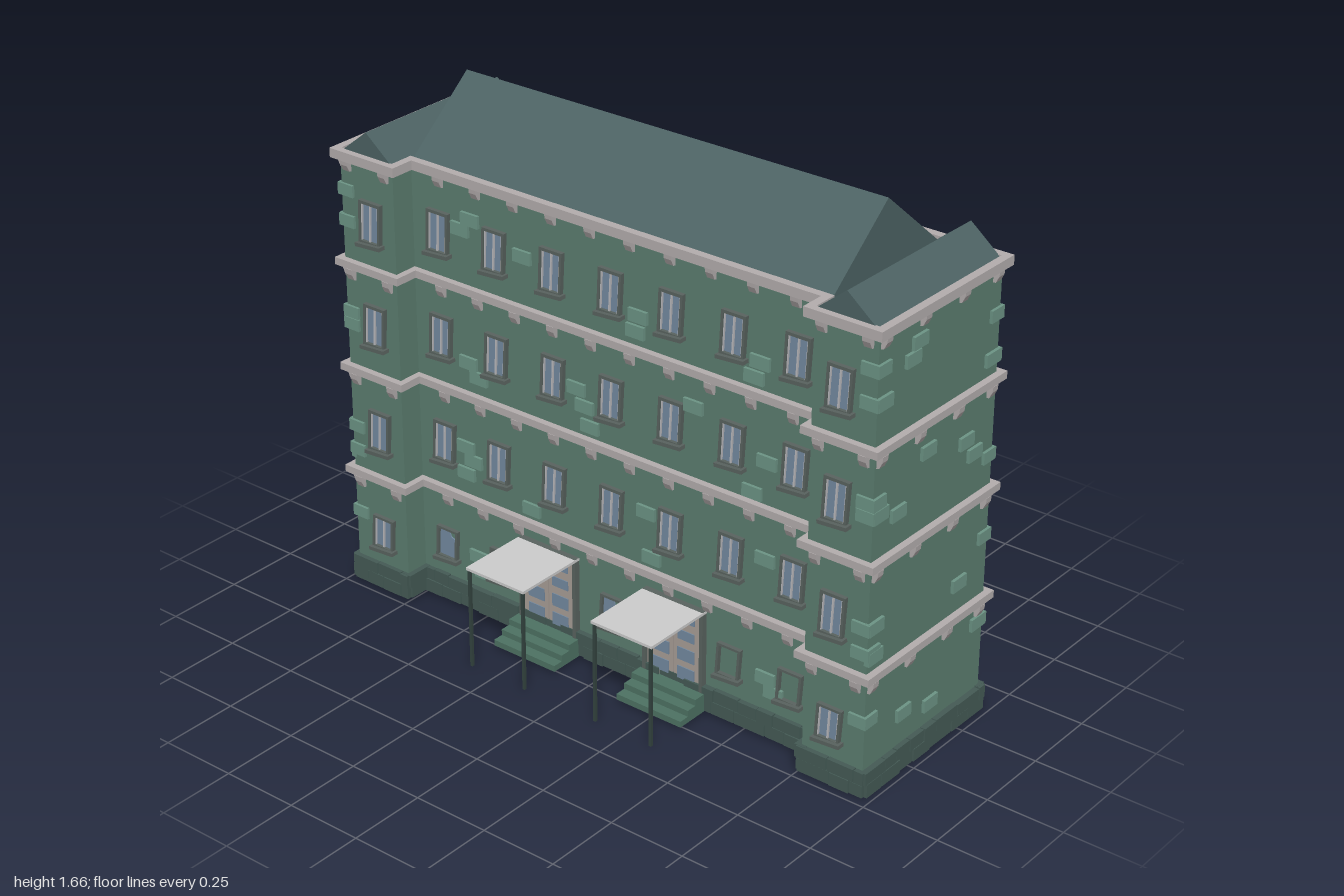
import * as THREE from 'three';

const mat = (color, side = THREE.FrontSide) =>
  new THREE.MeshStandardMaterial({ color, side, flatShading: true });
const M = {
  wall: mat(0x5b7d6f, THREE.DoubleSide), brick: mat(0x6c9485), base: mat(0x445a55),
  roof: mat(0x4c6263), trim: mat(0xb3adad), frame: mat(0x59635f), glass: mat(0x7389a0),
  bar: mat(0xb9b9bd), door: mat(0xa79d96), step: mat(0x4d7263), post: mat(0x33433f), canopy: mat(0xcccccc),
};
const TRIM_TOPS = [0.408, 0.763, 1.115, 1.468];

let seed = 7;
const rand = () => (seed = (seed * 16807) % 2147483647) / 2147483647;

function add(parent, name, geo, material, x = 0, y = 0, z = 0) {
  const mesh = new THREE.Mesh(geo, material);
  mesh.name = name;
  mesh.position.set(x, y, z);
  parent.add(mesh);
  return mesh;
}
const box = (parent, name, material, w, h, d, x, y, z) =>
  add(parent, name, new THREE.BoxGeometry(w, h, d), material, x, y, z);

// Footprint grown outward by d, as (x, -z), counter-clockwise from the front corner
function outline(d) {
  const w = 0.97 + d, i = 0.76 - d, f = -0.215 - d, c = -0.135 - d, b = 0.367 + d;
  return [[-w, f], [-i, f], [-i, c], [i, c], [i, f], [w, f], [w, b], [-w, b]]
    .map(p => new THREE.Vector2(...p));
}

// Local frame on a wall: x runs along it, z points outward
function face(parent, name, x, z, angle) {
  const g = new THREE.Group();
  g.name = name;
  g.position.set(x, 0, z);
  g.rotation.y = angle;
  parent.add(g);
  return g;
}

const bricks = (wall, list) => list.forEach(([x, y]) =>
  box(wall, 'raisedBrick', M.brick, 0.067, 0.04, 0.018, x, y, 0.001));

// Wedge-shaped block under a ledge
const bracketShape = new THREE.Shape([[0, 0], [0.021, 0], [0.019, -0.018], [0.009, -0.038], [0, -0.04]]
  .map(p => new THREE.Vector2(...p)));
const bracketGeo = new THREE.ExtrudeGeometry(bracketShape, { depth: 0.026, bevelEnabled: false })
  .translate(0, 0, -0.013).rotateY(-Math.PI / 2);
const brackets = (wall, xs) => TRIM_TOPS.forEach(t => xs.forEach(x =>
  add(wall, 'ledgeBracket', bracketGeo, M.trim, x, t - 0.026, 0)));

const poly = pts => pts.map(p => new THREE.Vector2(...p));
const scaled = (pts, sx, sy) => poly(pts.map(([x, y]) => [x * sx, y * sy]));

// Slightly crooked window with sill, lintel and glazing bars
function addWindow(wall, x, y, h, kind) {
  const g = new THREE.Group();
  g.name = 'window';
  g.position.set(x, y, 0);
  wall.add(g);
  const k = h / 0.135;
  const outer = [[-0.045, -0.067], [0.039, -0.067], [0.047, 0.067], [-0.038, 0.067]];
  const shape = new THREE.Shape(scaled(outer, 1, k));
  shape.holes.push(new THREE.Path(scaled(outer, 0.8, k * 0.86)));
  add(g, 'windowFrame', new THREE.ExtrudeGeometry(shape, { depth: 0.024, bevelEnabled: false }), M.frame, 0, 0, -0.01);
  const sill = box(g, 'windowSill', M.frame, 0.098, 0.012, 0.032, 0, -h / 2, 0.01);
  sill.rotation.z = 0.07;
  if (kind === 'empty') return;
  const pane = kind === 'broken'
    ? [[-0.037, -0.06], [0.033, -0.06], [0.037, 0.02], [0.012, 0.03], [0.004, 0.058], [-0.031, 0.05]]
    : scaled(outer, 0.84, 0.9).map(p => [p.x, p.y]);
  add(g, 'windowGlass', new THREE.ExtrudeGeometry(new THREE.Shape(scaled(pane, 1, k)),
    { depth: 0.008, bevelEnabled: false }), M.glass, 0, 0, -0.004);
  if (kind === 'broken') return;
  box(g, 'glazingBar', M.bar, 0.005, h * 0.86, 0.006, 0.001, 0, 0.007).rotation.z = -0.05;
  for (const s of [-1, 1])
    box(g, 'glazingEdge', M.bar, 0.004, h * 0.86, 0.006, s * 0.032, 0, 0.007).rotation.z = -0.05;
}

// Double door with panes, steps and a canopy on two posts
function entrance(parent, x) {
  const g = face(parent, 'entrance', x, 0.135, 0);
  box(g, 'doorHeader', M.frame, 0.224, 0.014, 0.03, 0, 0.335, 0.005);
  for (const s of [-1, 1]) {
    box(g, 'doorJamb', M.frame, 0.012, 0.28, 0.03, s * 0.106, 0.195, 0.005);
    box(g, 'doorLeaf', M.door, 0.096, 0.27, 0.018, s * 0.05, 0.193, 0.003);
    for (const y of [0.105, 0.17, 0.235, 0.295])
      box(g, 'doorPane', M.glass, 0.062, y < 0.2 ? 0.042 : 0.032, 0.006, s * 0.047, y, 0.012);
    box(g, 'canopyPost', M.post, 0.009, 0.332, 0.009, s * 0.104, 0.166, 0.248);
  }
  for (let i = 0; i < 3; i++) {
    const depth = 0.13 - i * 0.035;
    box(g, 'step', M.step, 0.24, 0.02, depth, 0, 0.018 + i * 0.02, depth / 2);
  }
  box(g, 'canopy', M.canopy, 0.225, 0.009, 0.255, 0, 0.337, 0.1275);
}

export function createModel() {
  const model = new THREE.Group();
  model.name = 'apartmentBuilding';

  // Hollow wall shell and two uneven courses of foundation stones
  const pts = outline(0);
  pts.forEach((a, i) => {
    const b = pts[(i + 1) % pts.length], len = a.distanceTo(b);
    const seg = face(model, 'wallSection', a.x, -a.y, Math.atan2(b.y - a.y, b.x - a.x));
    add(seg, 'wall', new THREE.PlaneGeometry(len, 1.44), M.wall, len / 2, 0.745, 0);
    for (let row = 0; row < 2; row++) {
      let x = row ? -0.012 : -0.006;
      while (x < len - 0.005) {
        const w = Math.min(0.055 + rand() * 0.06, len + 0.012 - x);
        box(seg, 'foundationStone', M.base, w - 0.003, 0.038 + rand() * 0.006, 0.026 + rand() * 0.012,
          x + w / 2, 0.031 + row * 0.04, 0.001);
        x += w;
      }
    }
  });

  // Ledges between the floors and the eaves
  TRIM_TOPS.forEach((top, i) => {
    const ring = new THREE.Shape(outline(0.022));
    ring.holes.push(new THREE.Path(outline(-0.004)));
    const h = i === 3 ? 0.03 : 0.024;
    add(model, i === 3 ? 'eaves' : 'ledge', new THREE.ExtrudeGeometry(ring, { depth: h, bevelEnabled: false })
      .rotateX(-Math.PI / 2), M.trim, 0, top - h, 0);
  });

  // Long main gable and a low gable over each wing
  const mainGable = new THREE.Shape(poly([[-0.135, 1.455], [0.365, 1.455], [0.115, 1.665]]));
  add(model, 'mainRoof', new THREE.ExtrudeGeometry(mainGable, { depth: 1.515, bevelEnabled: false })
    .translate(0, 0, -0.7575).rotateY(Math.PI / 2), M.roof);
  const wingGable = new THREE.Shape(poly([[-0.108, 1.455], [0.108, 1.455], [0, 1.542]]));
  for (const s of [-1, 1])
    add(model, 'wingRoof', new THREE.ExtrudeGeometry(wingGable, { depth: 0.58, bevelEnabled: false }),
      M.roof, s * 0.862, 0, -0.365);

  const centre = face(model, 'centreFront', 0, 0.135, 0);
  const wings = face(model, 'wingFronts', 0, 0.215, 0);
  const left = face(model, 'leftSide', 0.97, 0, Math.PI / 2);
  const right = face(model, 'rightSide', -0.97, 0, -Math.PI / 2);
  const back = face(model, 'backSide', 0, -0.367, Math.PI);

  // Windows
  for (const y of [0.56, 0.918, 1.257]) {
    for (let i = -3; i <= 3; i++) addWindow(centre, i * 0.219, y, 0.14);
    for (const s of [-1, 1]) addWindow(wings, s * 0.853, y, 0.14);
  }
  for (const i of [-3, -2, 0]) addWindow(centre, i * 0.219, 0.205, 0.11, 'broken');
  for (const i of [2, 3]) addWindow(centre, i * 0.219, 0.205, 0.11, 'empty');
  for (const s of [-1, 1]) addWindow(wings, s * 0.853, 0.205, 0.115);

  entrance(model, -0.242);
  entrance(model, 0.24);

  // Ledge brackets
  brackets(centre, Array.from({ length: 10 }, (_, i) => (i - 4.5) * 0.144));
  brackets(wings, [-0.94, -0.79, 0.79, 0.94]);
  brackets(left, [-0.195, -0.015, 0.17, 0.335]);
  brackets(right, [-0.335, -0.17, 0.015, 0.195]);
  brackets(back, [-0.94, 0.94]);

  // Raised bricks scattered over the walls
  bricks(centre, [[-0.57, 1.29], [-0.53, 1.33], [-0.33, 1.27], [0.1, 1.21], [0.09, 1.16], [0.53, 1.2], [0.51, 1.15],
    [0.3, 0.99], [-0.13, 0.91], [-0.1, 0.86], [0.56, 0.9], [0.51, 0.79], [-0.55, 0.86], [-0.51, 0.82], [-0.08, 0.8],
    [-0.57, 0.57], [-0.57, 0.48], [-0.54, 0.53], [0.13, 0.59], [0.56, 0.59], [-0.31, 0.445], [0.15, 0.445],
    [-0.51, 0.15], [-0.53, 0.2], [0.57, 0.2], [0.6, 0.16]]);
  const sideBricks = [[0.03, 1.363], [0.06, 1.32], [0.185, 1.24], [-0.335, 1.17], [-0.035, 1.005], [-0.225, 0.955],
    [-0.27, 0.9], [0.1, 0.87], [0.185, 0.9], [-0.225, 0.5], [0.185, 0.55], [0.185, 0.455], [-0.335, 0.32],
    [0.03, 0.195], [-0.105, 0.16]];
  bricks(left, sideBricks.map(([z, y]) => [-z, y]));
  bricks(right, sideBricks);
  bricks(back, [[-0.82, 1.37], [-0.79, 1.33], [-0.1, 1.36], [-0.06, 1.32], [0.64, 1.39], [0.68, 1.35],
    [-0.64, 0.95], [-0.6, 0.91], [0.25, 1.01], [0.29, 0.97], [0.75, 0.92], [-0.3, 0.62], [-0.26, 0.58],
    [0.3, 0.66], [0.34, 0.62], [0.8, 0.55], [-0.75, 0.56], [-0.5, 0.26], [0.3, 0.3], [0.33, 0.26], [0.75, 0.2]]);

  // Corner bricks
  for (const s of [-1, 1]) {
    for (const y of [0.25, 0.47, 0.55, 0.9, 0.94, 1.24, 1.34])
      box(model, 'cornerBrick', M.brick, 0.06, 0.038, 0.06, s * 0.949, y, 0.194);
    for (const y of [0.32, 0.6, 0.86, 1.17, 1.3])
      box(model, 'cornerBrick', M.brick, 0.06, 0.038, 0.06, s * 0.949, y, -0.346);
  }
  return model;
}
